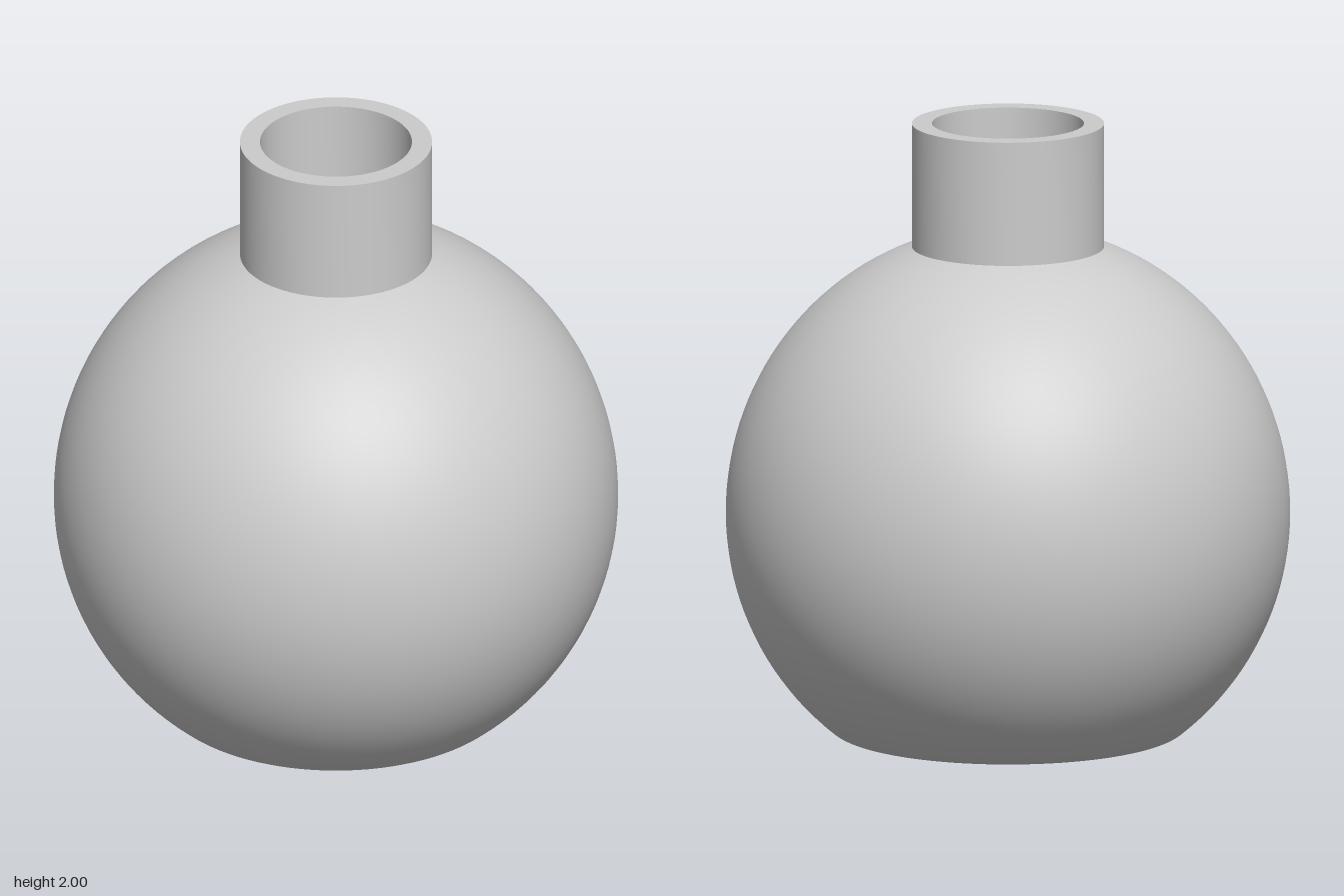
import * as THREE from 'three';
import { toCreasedNormals } from 'three/addons/utils/BufferGeometryUtils.js';

const CENTER_Y = 0.72;
const SEGMENTS = 96;

// Point on the bulb wall; the upper half is very slightly taller than the lower
function bulbPoint(radius, angle) {
  const height = angle > 0 ? radius + 0.02 : radius;
  return new THREE.Vector2(radius * Math.cos(angle), CENTER_Y + height * Math.sin(angle));
}

function arc(count, from, to, pointAt) {
  return Array.from({ length: count + 1 }, (_, i) => pointAt(from + (to - from) * i / count));
}

function lathe(name, points) {
  const geometry = toCreasedNormals(new THREE.LatheGeometry(points, SEGMENTS), 0.5);
  const mesh = new THREE.Mesh(geometry, new THREE.MeshStandardMaterial({ color: 0xcccccc }));
  mesh.name = name;
  return mesh;
}

export function createModel() {
  const group = new THREE.Group();
  group.name = 'roundFlask';

  const outer = 0.91, inner = 0.845, neckOuter = 0.31, neckInner = 0.245;
  const fillet = 0.07, floorY = 0.065;

  // Outer bulb: flat base, rounded base edge, then the round wall up to the neck
  const filletX = Math.sqrt((outer - fillet) ** 2 - (CENTER_Y - fillet) ** 2);
  const baseAngle = -Math.atan2(CENTER_Y - fillet, filletX);
  const outerTop = Math.acos(neckOuter / outer);
  const outerWall = arc(48, baseAngle, outerTop, a => bulbPoint(outer, a));
  group.add(lathe('bulb', [
    new THREE.Vector2(0, 0),
    ...arc(6, -Math.PI / 2, baseAngle, a =>
      new THREE.Vector2(filletX + fillet * Math.cos(a), fillet + fillet * Math.sin(a))),
    ...outerWall.slice(1),
  ]));

  // Neck: outer wall, flat rim and bore
  const innerTop = Math.acos(neckInner / inner);
  const shoulder = bulbPoint(outer, outerTop);
  const throat = bulbPoint(inner, innerTop);
  group.add(lathe('neck', [
    shoulder,
    new THREE.Vector2(neckOuter, 2),
    new THREE.Vector2(neckInner, 2),
    throat,
  ]));

  // Hollow inside with a flat floor
  const floorAngle = -Math.asin((CENTER_Y - floorY) / inner);
  group.add(lathe('cavity', [
    ...arc(40, innerTop, floorAngle, a => bulbPoint(inner, a)),
    new THREE.Vector2(0, floorY),
  ]));

  return group;
}
